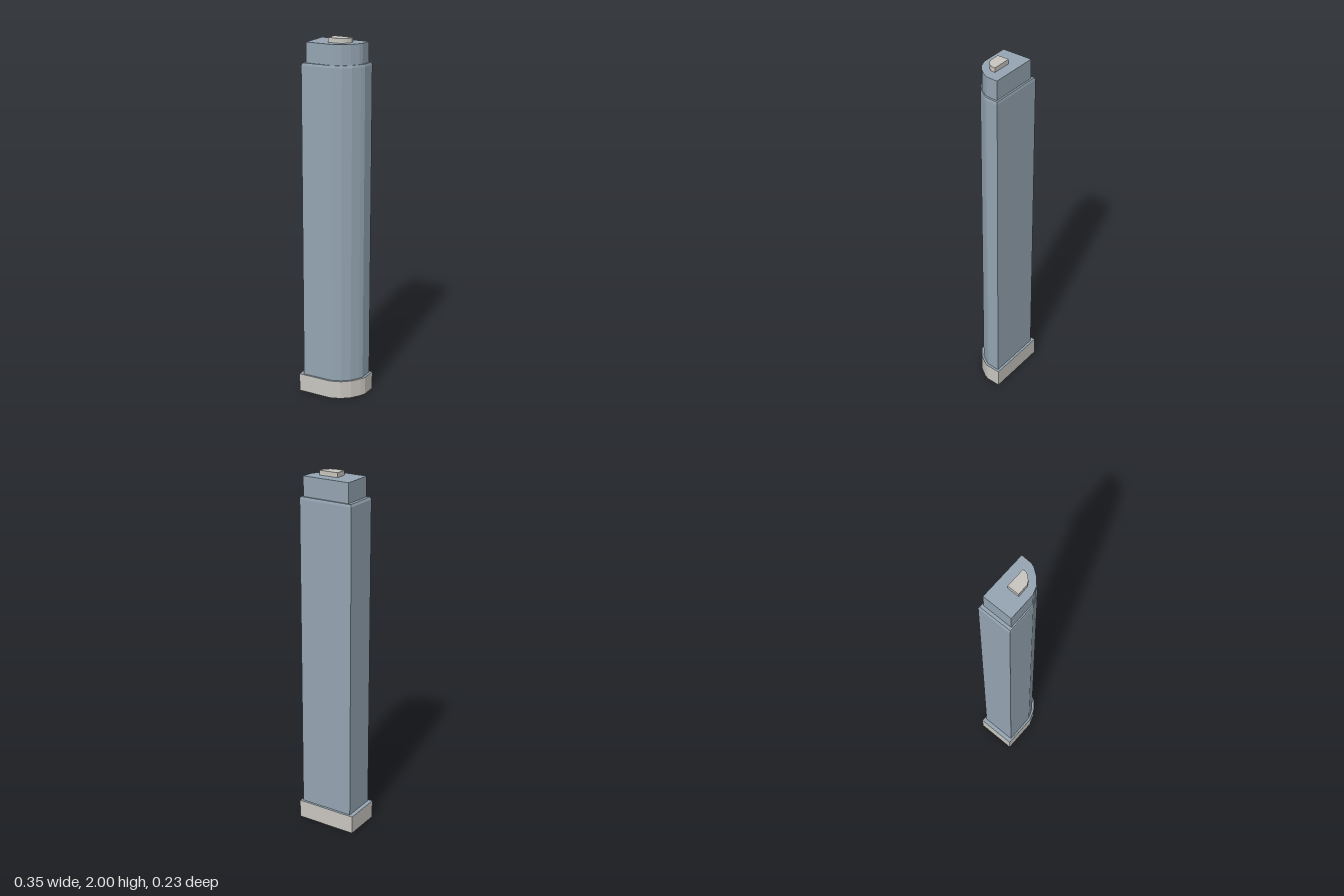
import * as THREE from 'three';

// Plan outlines as [x, z], running from the back left corner round the curved front
const footOutline = [[-0.175, -0.103], [0.174, -0.117], [0.174, -0.034], [0.162, -0.005],
  [0.13, 0.045], [0.085, 0.083], [0.028, 0.106], [-0.165, 0.114]];
const shaftOutline = [[-0.151, -0.091], [0.161, -0.103], [0.16, -0.03], [0.149, -0.007],
  [0.122, 0.037], [0.081, 0.071], [0.028, 0.094], [-0.142, 0.103]];
const rimOutline = [[-0.145, -0.088], [0.158, -0.1], [0.157, -0.03], [0.146, -0.007],
  [0.12, 0.034], [0.08, 0.068], [0.028, 0.091], [-0.136, 0.1]];
const crownOutline = [[-0.127, -0.079], [0.147, -0.09], [0.147, -0.027], [0.14, -0.007],
  [0.113, 0.034], [0.076, 0.067], [0.035, 0.084], [-0.12, 0.091]];
const knobOutline = [[-0.02, -0.024], [0.089, -0.029], [0.089, -0.006], [0.078, 0.013],
  [0.063, 0.028], [0.046, 0.038], [-0.017, 0.042]];

// Walls joining a stack of [outline, height] sections
function walls(sections) {
  const p = [];
  for (let s = 0; s + 1 < sections.length; s++) {
    const [low, y0] = sections[s];
    const [high, y1] = sections[s + 1];
    low.forEach((_, i) => {
      const j = (i + 1) % low.length;
      const a = [low[i][0], y0, low[i][1]], b = [low[j][0], y0, low[j][1]];
      const c = [high[i][0], y1, high[i][1]], d = [high[j][0], y1, high[j][1]];
      p.push(...a, ...c, ...b, ...b, ...c, ...d);
    });
  }
  const g = new THREE.BufferGeometry();
  g.setAttribute('position', new THREE.Float32BufferAttribute(p, 3));
  g.computeVertexNormals();
  return g;
}

// Flat horizontal face filling an outline
function slab(outline, y) {
  const shape = new THREE.Shape(outline.map(([x, z]) => new THREE.Vector2(x, -z)));
  return new THREE.ShapeGeometry(shape).rotateX(-Math.PI / 2).translate(0, y, 0);
}

export function createModel() {
  const glass = new THREE.MeshStandardMaterial({ color: 0x95a5b2, side: THREE.DoubleSide });
  glass.name = 'blue grey cladding';
  const stone = new THREE.MeshStandardMaterial({ color: 0xc9c6c0, side: THREE.DoubleSide });
  stone.name = 'pale stone';

  const model = new THREE.Group();
  model.name = 'tower';
  const add = (name, geometry, material) => {
    const mesh = new THREE.Mesh(geometry, material);
    mesh.name = name;
    model.add(mesh);
  };

  // Podium, open underneath, with its roof
  add('podiumWalls', walls([[footOutline, 0], [footOutline, 0.103]]), stone);
  add('podiumRoof', slab(footOutline, 0.103), glass);

  // Main shaft with a narrow chamfer at the top
  add('shaftWalls', walls([[shaftOutline, 0.103], [shaftOutline, 1.855], [rimOutline, 1.868]]), glass);
  add('shaftRoof', slab(rimOutline, 1.868), glass);

  // Set-back crown
  add('crownWalls', walls([[crownOutline, 1.868], [crownOutline, 1.975]]), glass);
  add('crownRoof', slab(crownOutline, 1.975), glass);

  // Rooftop plant room
  add('plantRoomWalls', walls([[knobOutline, 1.975], [knobOutline, 2]]), stone);
  add('plantRoomRoof', slab(knobOutline, 2), stone);

  return model;
}
